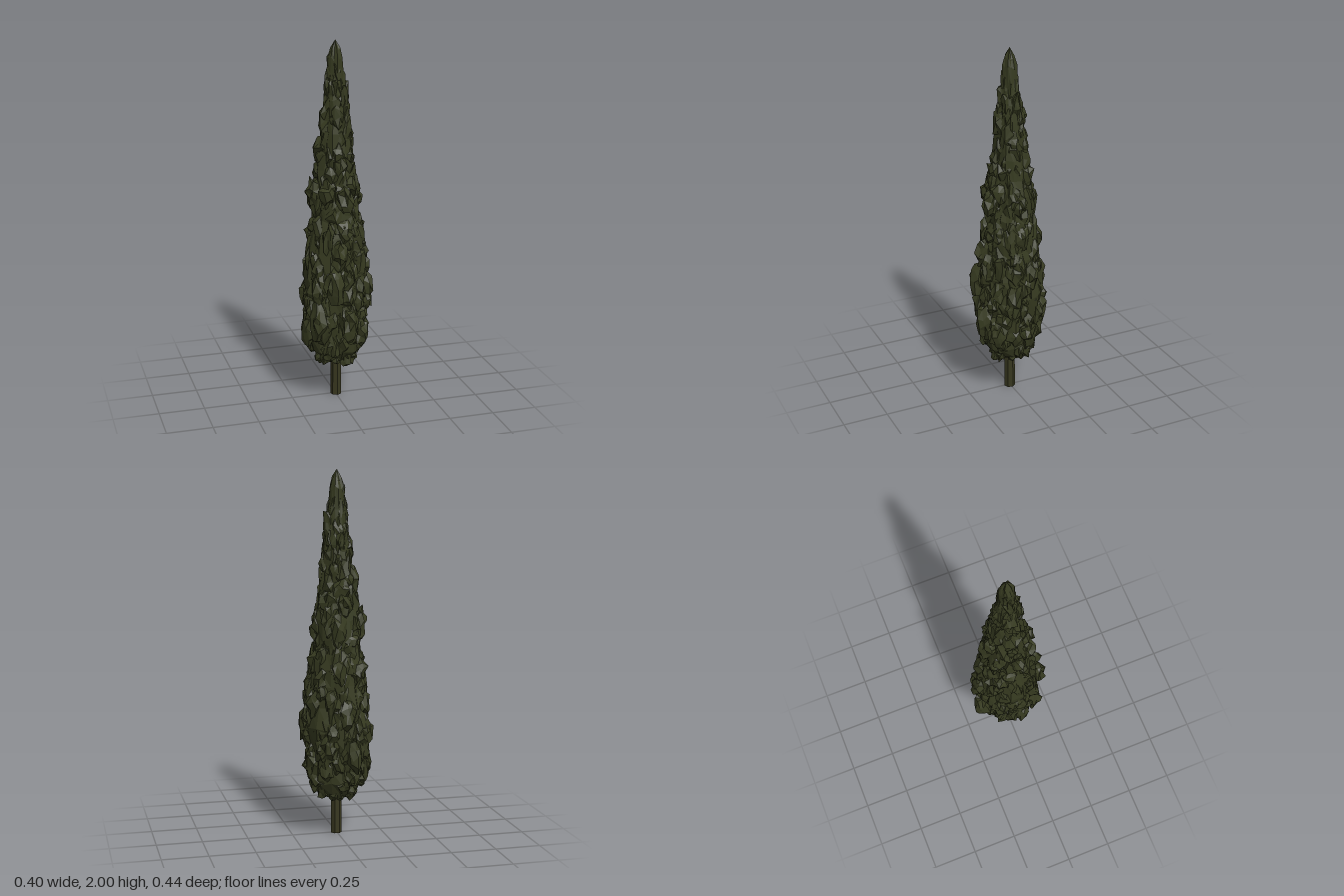
import * as THREE from 'three';
import { mergeGeometries, mergeVertices } from 'three/addons/utils/BufferGeometryUtils.js';

// Seeded random numbers
let seed = 7;
const rand = () => {
  seed = (seed * 16807) % 2147483647;
  return seed / 2147483647;
};
const vary = (a) => (rand() * 2 - 1) * a;

// Crown outline: [height, radius]
const outline = [
  [0.215, 0.085], [0.24, 0.125], [0.3, 0.16], [0.4, 0.18], [0.5, 0.187], [0.62, 0.19],
  [0.72, 0.184], [0.85, 0.171], [0.95, 0.157], [1.04, 0.135], [1.1, 0.135], [1.2, 0.135],
  [1.3, 0.117], [1.4, 0.104], [1.5, 0.091], [1.6, 0.079], [1.7, 0.066], [1.8, 0.051],
  [1.9, 0.04], [1.95, 0.026], [2.0, 0],
];
function radiusAt(y) {
  for (let i = 1; i < outline.length; i++) {
    const [y0, r0] = outline[i - 1], [y1, r1] = outline[i];
    if (y <= y1) return r0 + (r1 - r0) * Math.max(0, (y - y0) / (y1 - y0));
  }
  return 0;
}

// Move every point of a geometry by a rule after welding its corners
function weldAndMove(source, rule) {
  source.deleteAttribute('normal');
  source.deleteAttribute('uv');
  const geo = mergeVertices(source, 1e-4);
  const p = geo.attributes.position;
  const v = new THREE.Vector3();
  for (let i = 0; i < p.count; i++) {
    rule(v.fromBufferAttribute(p, i));
    p.setXYZ(i, v.x, v.y, v.z);
  }
  return geo;
}

// One jagged, upright tuft of leaves whose outer side reaches the given radius
function tuft(y, angle, reach, width, height) {
  const geo = weldAndMove(new THREE.IcosahedronGeometry(1, 1), (v) => {
    v.multiplyScalar(1 + vary(0.26));
    v.x += vary(0.18);
    v.y += vary(0.16);
    v.z += vary(0.18);
  });
  geo.scale(width, height, width);
  geo.rotateZ(0.06 + vary(0.16));
  geo.rotateX(vary(0.2));
  geo.translate(reach - width, y, 0);
  geo.rotateY(-angle);
  return geo;
}

// Faceted inner body that follows the outline
function innerBody() {
  const points = outline.map(([y, r]) => new THREE.Vector2(r * (y > 1.85 ? 1 : 0.87), y));
  points.unshift(new THREE.Vector2(0, 0.25));
  return weldAndMove(new THREE.LatheGeometry(points, 14), (v) => {
    if (v.y < 0.26 || v.y > 1.96) return;
    const s = 1 + vary(0.1);
    v.x *= s;
    v.z *= s;
    v.y += vary(0.015);
  });
}

export function createModel() {
  seed = 7;
  const leafGreen = new THREE.MeshStandardMaterial({ color: 0x363a20, flatShading: true });
  const barkBrown = new THREE.MeshStandardMaterial({ color: 0x37361f, flatShading: true });
  const model = new THREE.Group();
  model.name = 'cypressTree';

  // Tufts wind up the crown, smaller and closer to the axis towards the tip
  const tufts = [];
  let y = 0.29, angle = 0;
  while (y < 1.87) {
    const r = radiusAt(y);
    const width = Math.min(0.04, r * 0.42) * (1 + vary(0.2));
    const height = Math.min(0.075, 0.045 + (y - 0.29) * 0.3) * (1 + vary(0.25));
    tufts.push(tuft(y, angle, r * (0.985 + vary(0.07)), width, height));
    angle += 2.39996 + vary(0.25);
    y += 0.0013 / (r + 0.01);
  }

  // Ragged underside
  for (let i = 0; i < 13; i++) {
    tufts.push(tuft(0.25 + vary(0.015), i * 2.39996, 0.11 + 0.025 * (i % 2), 0.03, 0.045));
  }

  // Larger outstanding clumps: [height, x, z, half height]
  const clumps = [
    [1.19, -0.168, 0.02, 0.075], [1.13, -0.145, -0.03, 0.09], [1.23, 0.125, 0.03, 0.08],
    [1.18, 0.03, 0.155, 0.09], [1.15, 0.03, -0.146, 0.1], [1.2, -0.1, 0.122, 0.08],
    [0.47, -0.07, -0.21, 0.09], [0.7, -0.02, -0.217, 0.08], [0.7, -0.07, 0.208, 0.1],
    [0.48, 0.04, 0.21, 0.09], [0.4, -0.2, 0.04, 0.09], [0.62, 0.2, 0.05, 0.1],
    [0.4, 0.185, -0.06, 0.09], [0.6, -0.168, -0.11, 0.09], [0.4, 0.14, 0.15, 0.08],
    [0.5, 0.095, -0.175, 0.09], [0.85, 0.175, 0.03, 0.1], [0.92, 0.02, -0.178, 0.08],
    [0.48, -0.16, 0.145, 0.1], [0.66, -0.155, 0.128, 0.08], [0.85, -0.03, 0.185, 0.08],
    [0.98, 0.155, -0.02, 0.09], [0.98, 0.02, 0.155, 0.07], [0.75, 0.18, -0.08, 0.09],
    [1.42, -0.118, 0.0, 0.08], [1.55, -0.095, 0.0, 0.08], [1.3, 0.09, -0.09, 0.07],
    [1.48, 0.0, -0.1, 0.09], [1.62, 0.01, -0.086, 0.08], [1.6, 0.0, 0.088, 0.08],
    [1.68, 0.072, -0.01, 0.09], [1.74, -0.01, 0.064, 0.06], [1.76, -0.06, 0.0, 0.08],
  ];
  for (const [cy, x, z, height] of clumps) {
    const r = Math.hypot(x, z);
    tufts.push(tuft(cy, Math.atan2(z, x), r, Math.min(0.046, r * 0.42), height));
  }

  const foliage = new THREE.Mesh(mergeGeometries(tufts), leafGreen);
  foliage.name = 'foliageTufts';
  const core = new THREE.Mesh(innerBody(), leafGreen);
  core.name = 'foliageCore';

  // Trunk
  const trunk = new THREE.Mesh(new THREE.CylinderGeometry(0.028, 0.032, 0.32, 7), barkBrown);
  trunk.position.set(0.003, 0.16, 0.003);
  trunk.name = 'trunk';

  model.add(foliage, core, trunk);
  return model;
}
